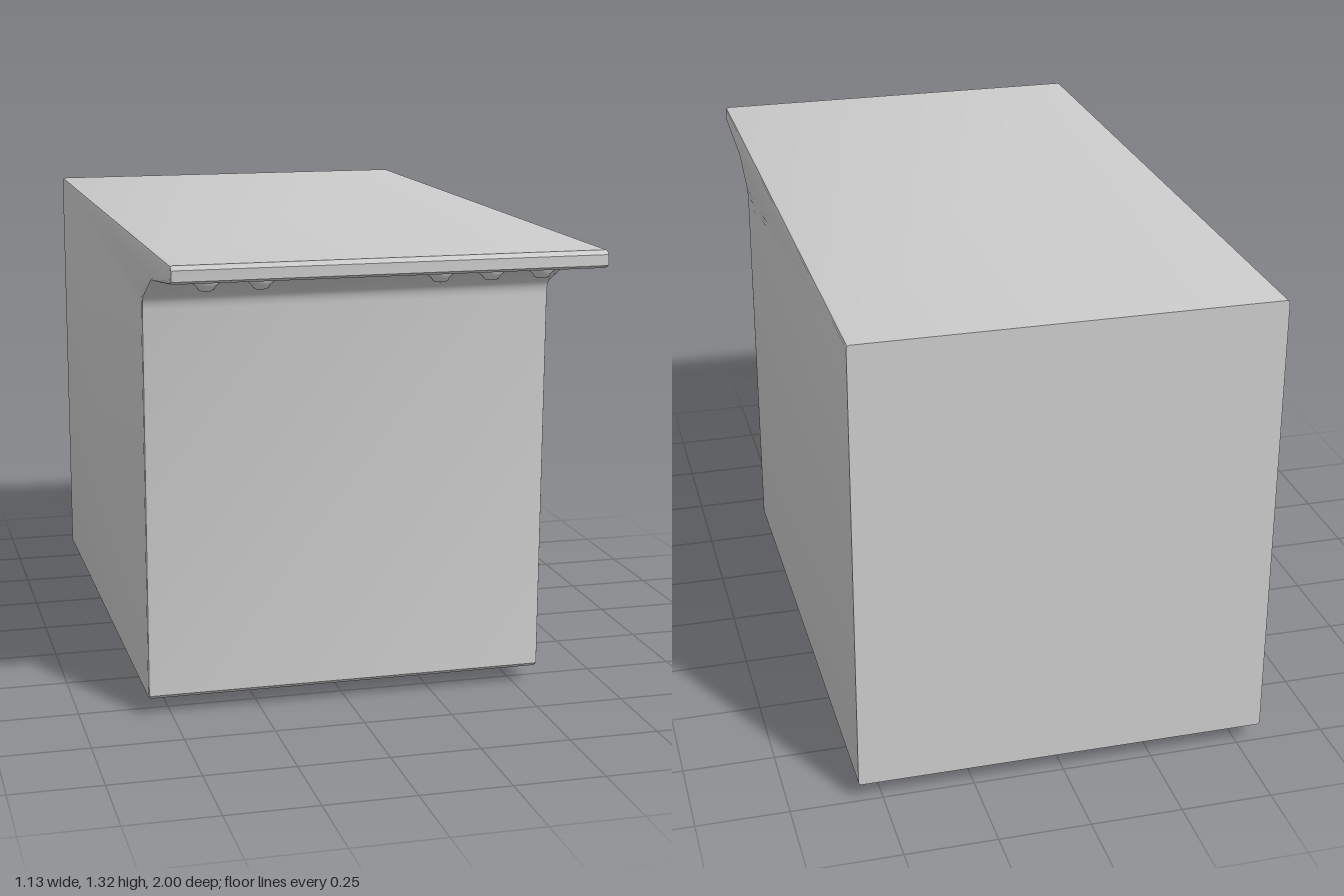
import * as THREE from 'three';
import { toCreasedNormals } from 'three/addons/utils/BufferGeometryUtils.js';

const material = new THREE.MeshStandardMaterial({ color: 0xcccccc });

function addMesh(parent, name, geometry) {
  const mesh = new THREE.Mesh(geometry, material);
  mesh.name = name;
  parent.add(mesh);
  return mesh;
}

// Housing: side profile (z, y) with overhanging lip, extruded across the width
function housingGeometry() {
  const width = 1.13, bevel = 0.008;
  const s = new THREE.Shape();
  s.moveTo(-1, 0.05);
  s.lineTo(0.56, 0.05);
  s.lineTo(0.57, 0.06);
  s.lineTo(0.57, 1.135);
  s.quadraticCurveTo(0.572, 1.165, 0.59, 1.175);
  s.lineTo(0.71, 1.235);
  s.lineTo(0.985, 1.268);
  s.lineTo(1, 1.276);
  s.lineTo(1, 1.304);
  s.lineTo(0.989, 1.315);
  s.lineTo(-1, 1.315);
  const g = new THREE.ExtrudeGeometry(s, {
    depth: width - 2 * bevel, curveSegments: 5,
    bevelThickness: bevel, bevelSize: bevel, bevelOffset: -bevel, bevelSegments: 2,
  });
  g.translate(0, 0, bevel - width / 2);
  // keep the back edges square
  const p = g.attributes.position;
  for (let i = 0; i < p.count; i++) if (p.getX(i) < -0.98) p.setX(i, -1);
  g.rotateY(-Math.PI / 2);
  return toCreasedNormals(g, 0.5);
}

// Foot: long bar with tapered section and a bowed underside
function footGeometry() {
  const half = 0.48;
  const g = new THREE.BoxGeometry(2, 1, 2, 32, 3, 6);
  const p = g.attributes.position;
  for (let i = 0; i < p.count; i++) {
    const t = p.getX(i), down = 0.5 - p.getY(i), v = p.getZ(i);
    const drop = 0.014 + 0.036 * (0.5 + 0.5 * Math.cos(Math.PI * t));
    const rounding = 1 - 0.12 * v * v;
    const endWidth = 1 - 0.45 * Math.pow(Math.abs(t), 8);
    const z = v * (0.042 - 0.017 * down) * endWidth;
    p.setXYZ(i, t * (half - 0.02 * down), 0.052 - (drop + 0.002) * down * rounding, z);
  }
  g.computeVertexNormals();
  return toCreasedNormals(g, 0.6);
}

// Lamp: small flared dome hanging below the lip
function lampGeometry() {
  const profile = [[0, -0.026], [0.012, -0.025], [0.02, -0.021], [0.024, -0.013],
    [0.034, -0.006], [0.036, 0.006]].map(([r, y]) => new THREE.Vector2(r, y));
  return new THREE.LatheGeometry(profile, 24);
}

export function createModel() {
  const model = new THREE.Group();
  model.name = 'cabinet';

  addMesh(model, 'housing', housingGeometry());

  const foot = footGeometry();
  [['frontFoot', 0.418], ['rearFoot', -0.516]].forEach(([name, z]) => {
    addMesh(model, name, foot).position.set(-0.01, 0, z);
  });

  // Lamps follow the slope of the lip's underside
  const lamps = new THREE.Group();
  lamps.name = 'lamps';
  model.add(lamps);
  const lamp = lampGeometry();
  [-0.45, -0.31, 0.16, 0.297, 0.435].forEach((x) => {
    const mesh = addMesh(lamps, 'lamp', lamp);
    mesh.position.set(x, 1.253, 0.86);
    mesh.rotation.x = -0.12;
  });

  return model;
}
